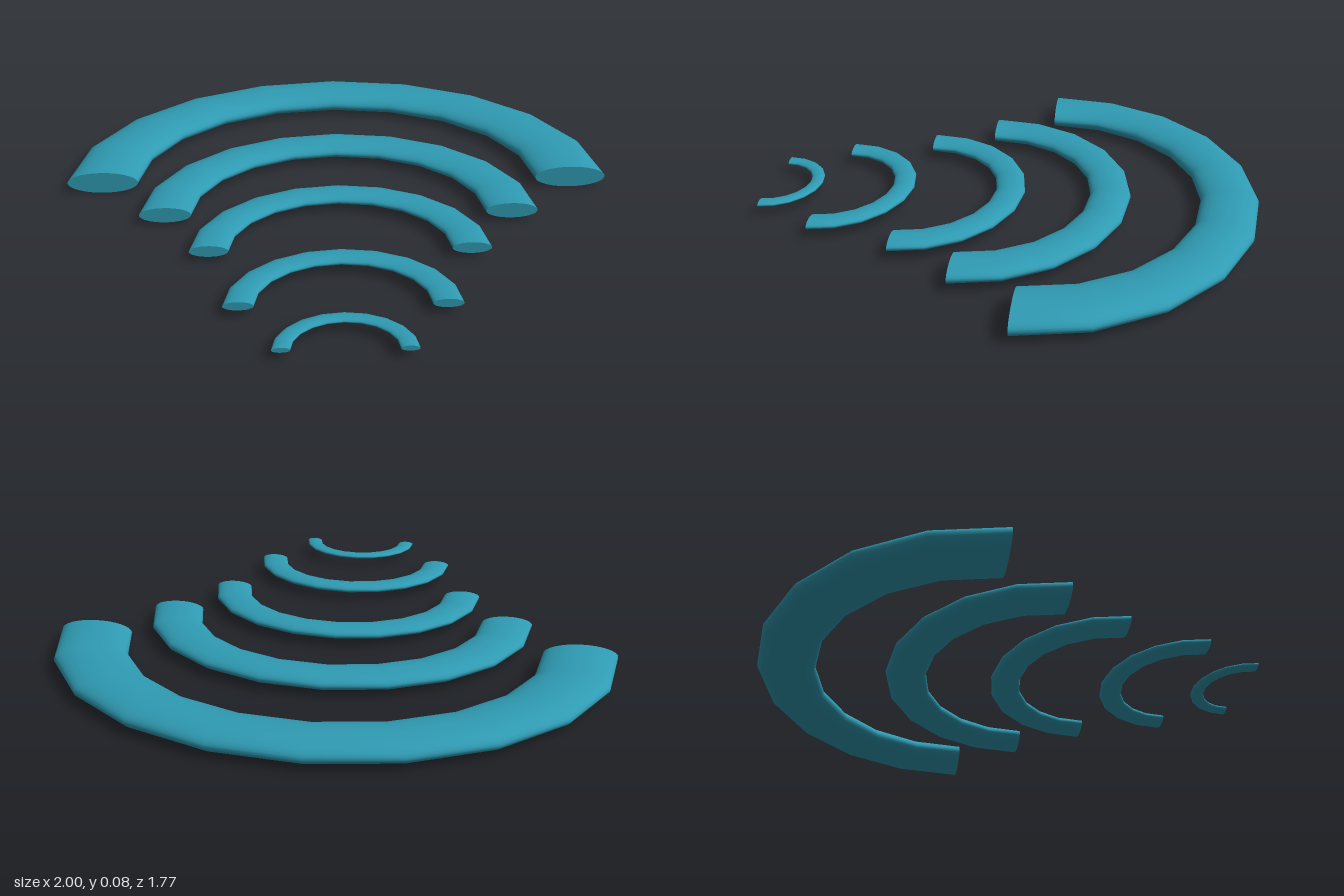
import * as THREE from 'three';

// Five nested half-rings with flattened oval section, all scaled copies of the largest
const RING = 0.87, TUBE = 0.13, DEPTH = 0.79, HALF_HEIGHT = 0.0425;
const ARCS = [ // size, z of the cut ends
  [1, -0.097], [0.71, 0.13], [0.515, 0.36], [0.385, 0.667], [0.226, 0.887],
];

// Lay flat with the bow towards the back, then squash to the oval shape
const flatten = (geometry) =>
  geometry.rotateX(-Math.PI / 2).scale(1, HALF_HEIGHT / TUBE, DEPTH);

export function createModel() {
  const model = new THREE.Group();
  model.name = 'nestedArcs';
  const teal = new THREE.MeshStandardMaterial({ color: 0x2f9bb3 });
  teal.name = 'teal';

  const bow = flatten(new THREE.TorusGeometry(RING, TUBE, 32, 10, Math.PI));
  const cap = (side) => flatten(
    new THREE.CircleGeometry(TUBE, 32).rotateX(Math.PI / 2).translate(side * RING, 0, 0));
  const caps = { leftEnd: cap(1), rightEnd: cap(-1) };

  ARCS.forEach(([size, z], i) => {
    const arc = new THREE.Group();
    arc.name = `arc${i + 1}`;
    for (const [name, geometry] of Object.entries({ bow, ...caps })) {
      const mesh = new THREE.Mesh(geometry, teal);
      mesh.name = name;
      arc.add(mesh);
    }
    arc.scale.setScalar(size);
    arc.position.set(0, HALF_HEIGHT, z);
    model.add(arc);
  });
  return model;
}
